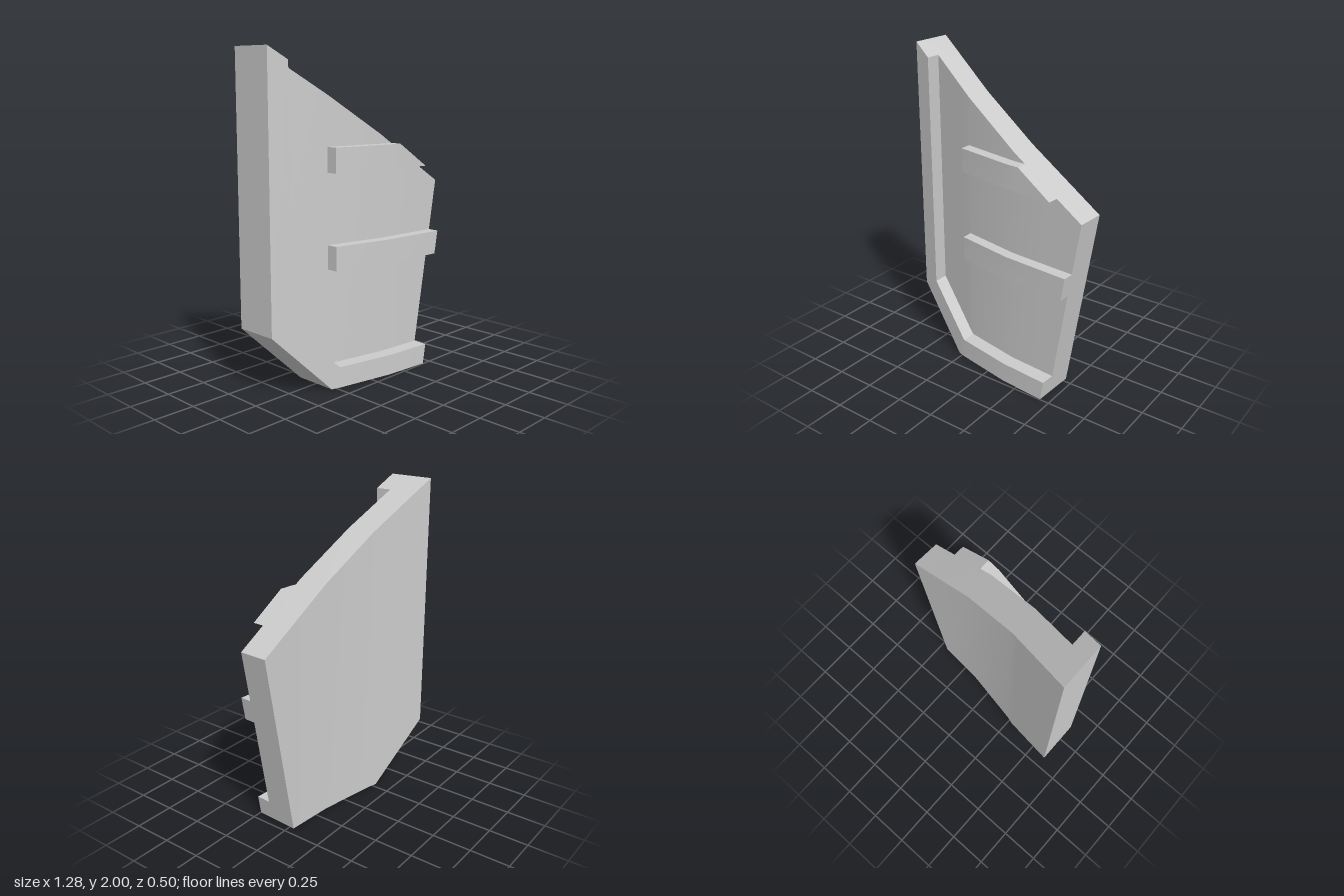
import * as THREE from 'three';
import { toCreasedNormals } from 'three/addons/utils/BufferGeometryUtils.js';

// Depth of each curved layer at the bend lines across the width
const BENDS = [-0.645, -0.225, 0.15, 0.64];
const BACK = [-0.25, -0.125, -0.055, -0.013];
const FACE = [-0.071, 0.056, 0.13, 0.168];
const RIB = [0, 0.127, 0.201, 0.24];
const RIM = [0.025, 0.15, 0.222, 0.262];

function depth(layer, x) {
  let i = 0;
  while (i < 2 && x > BENDS[i + 1]) i++;
  const t = (x - BENDS[i]) / (BENDS[i + 1] - BENDS[i]);
  return layer[i] + t * (layer[i + 1] - layer[i]);
}

// Outline edges
const topEdge = x => 2 - (x + 0.645) * 0.825 / 1.285;
const topEdgeX = y => -0.645 + (2 - y) * 1.285 / 0.825;
const rightEdgeX = y => 0.45 + y * 0.19 / 1.175;

// Loft a solid through columns [x, yLow, yHigh] between two curved layers
function loft(columns, rear, front) {
  const sections = columns.map(([x, lo, hi]) => {
    const zb = depth(rear, x), zf = depth(front, x);
    const point = (y, z) => {
      // the right-hand edge is cut square to the curved face
      const lean = x > 0.4 ? 0.045 * (z - depth(BACK, x)) : 0;
      return new THREE.Vector3(x - lean, y, z);
    };
    return [point(lo, zb), point(lo, zf), point(hi, zf), point(hi, zb)];
  });
  const pos = [];
  const tri = (a, b, c) => {
    if (new THREE.Triangle(a, b, c).getArea() < 1e-7) return;
    for (const p of [a, b, c]) pos.push(p.x, p.y, p.z);
  };
  const quad = (a, b, c, d) => { tri(a, b, c); tri(a, c, d); };
  for (let i = 0; i < sections.length - 1; i++) {
    const A = sections[i], B = sections[i + 1];
    for (let k = 0; k < 4; k++) {
      const n = (k + 1) % 4;
      quad(A[k], B[k], B[n], A[n]);
    }
  }
  quad(...sections[0]);
  quad(...sections[sections.length - 1].slice().reverse());
  const geometry = new THREE.BufferGeometry();
  geometry.setAttribute('position', new THREE.Float32BufferAttribute(pos, 3));
  return toCreasedNormals(geometry, 0.35);
}

export function createModel() {
  const group = new THREE.Group();
  group.name = 'curvedPanel';
  const material = new THREE.MeshStandardMaterial({ color: 0xcccccc });
  const add = (name, columns, rear, front) => {
    const mesh = new THREE.Mesh(loft(columns, rear, front), material);
    mesh.name = name;
    group.add(mesh);
  };

  // Main curved plate
  add('plate', [
    [-0.645, 0.375, 2],
    ...[-0.28, -0.225, 0.15, 0.45].map(x => [x, 0, topEdge(x)]),
    [0.64, 1.175, 1.175],
  ], BACK, FACE);

  // Raised rim: upright side, then the corner and bottom run
  add('sideRim', [[-0.645, 0.375, 2], [-0.527, 0.254, topEdge(-0.527)]], FACE, RIM);
  add('bottomRim', [
    [-0.527, 0.254, 0.43], [-0.28, 0, 0.18], [-0.225, 0, 0.127],
    [0.15, 0, 0.127], [0.45, 0, 0.127], [rightEdgeX(0.127), 0.127, 0.127],
  ], FACE, RIM);

  // Horizontal ribs, trimmed by the sloping outline
  add('upperRib', [
    [-0.23, 1.285, 1.435], [-0.225, 1.285, 1.435], [0.15, 1.285, 1.435],
    [topEdgeX(1.435), 1.285, 1.435], [topEdgeX(1.285), 1.285, 1.285],
  ], FACE, RIB);
  add('middleRib', [
    [-0.23, 0.71, 0.857], [-0.225, 0.71, 0.857], [0.15, 0.71, 0.857],
    [rightEdgeX(0.71), 0.71, 0.857], [rightEdgeX(0.857), 0.857, 0.857],
  ], FACE, RIB);

  return group;
}
